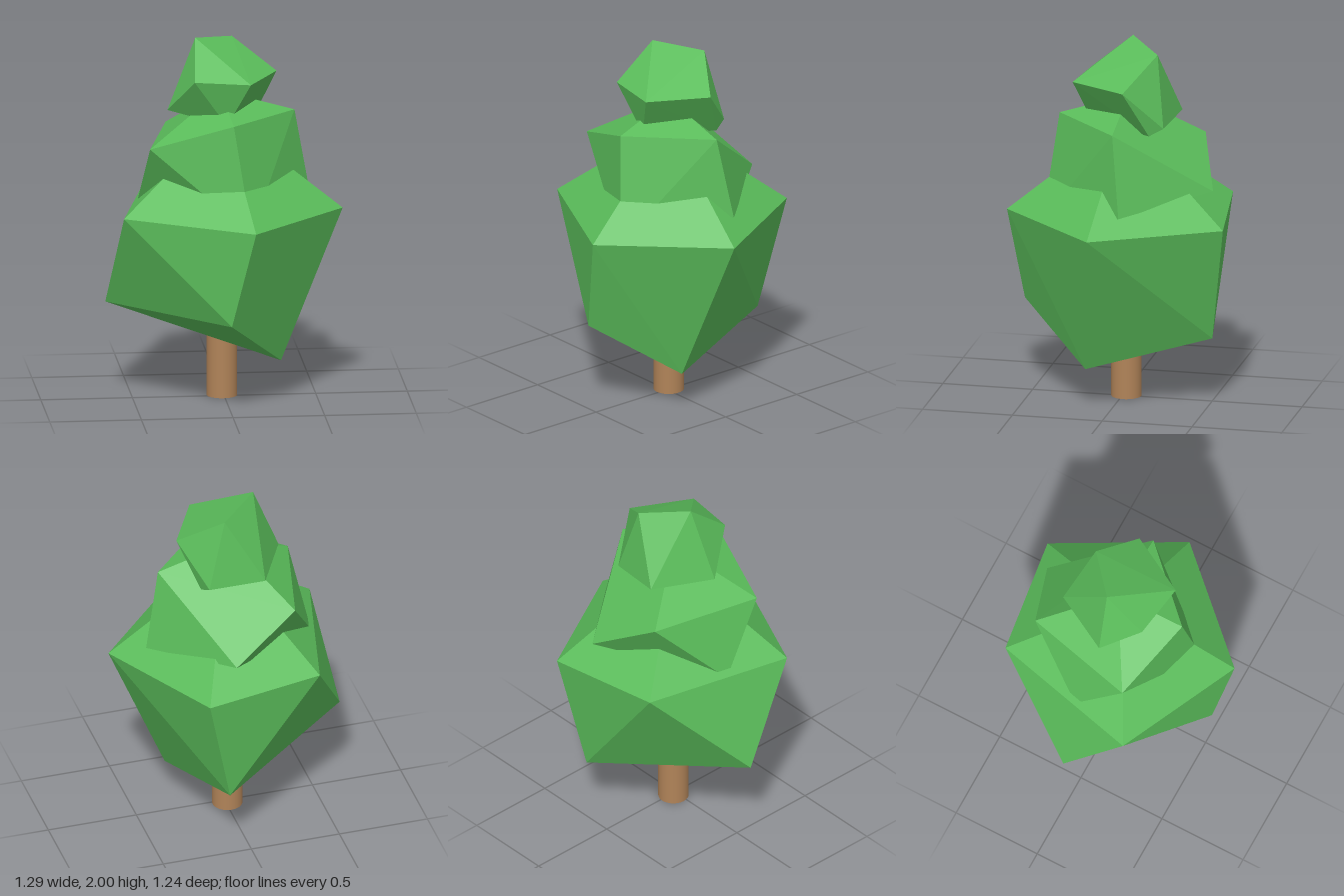
import * as THREE from 'three';
import { ConvexGeometry } from 'three/addons/geometries/ConvexGeometry.js';

const leafMaterial = new THREE.MeshStandardMaterial({ color: 0x5abc5a, flatShading: true });
const barkMaterial = new THREE.MeshStandardMaterial({ color: 0xb08358 });

// Faceted foliage clump: the convex hull of a few corner points
function clump(name, corners) {
  const points = corners.map(([x, y, z]) => new THREE.Vector3(x, y, z));
  const mesh = new THREE.Mesh(new ConvexGeometry(points), leafMaterial);
  mesh.name = name;
  return mesh;
}

export function createModel() {
  const tree = new THREE.Group();
  tree.name = 'tree';

  // Trunk, running up into the lower foliage
  const trunk = new THREE.Mesh(new THREE.CylinderGeometry(0.083, 0.083, 0.6, 32), barkMaterial);
  trunk.name = 'trunk';
  trunk.position.set(-0.01, 0.3, -0.02);
  tree.add(trunk);

  // Lower foliage: apex, upper ring, lower ring
  tree.add(clump('lowerFoliage', [
    [0, 1.56, -0.01],
    [-0.575, 1.075, 0.3], [0.115, 1.05, 0.617], [0.642, 1.05, 0.055],
    [0.27, 1.05, -0.62], [-0.38, 1.08, -0.53],
    [-0.645, 0.535, -0.03], [-0.01, 0.517, 0.545],
    [0.297, 0.225, 0.14], [0.13, 0.395, -0.53],
  ]));

  // Middle foliage
  tree.add(clump('middleFoliage', [
    [-0.02, 1.7, -0.03],
    [-0.425, 1.44, 0.215], [0.02, 1.588, 0.345], [0.387, 1.585, -0.03],
    [-0.28, 1.44, -0.4],
    [0.09, 1.217, -0.525], [0.47, 1.14, -0.083],
    [0.11, 1.0, 0.42], [-0.475, 1.06, -0.05],
  ]));

  // Top foliage
  tree.add(clump('topFoliage', [
    [-0.155, 2, -0.025], [0.063, 1.96, -0.21],
    [-0.18, 1.805, 0.205], [0.122, 1.795, 0.25], [0.293, 1.795, -0.065],
    [-0.31, 1.608, 0.01], [-0.14, 1.6, -0.303], [0.165, 1.575, -0.265],
    [0.19, 1.535, -0.19], [0, 1.55, 0.17],
  ]));

  return tree;
}
